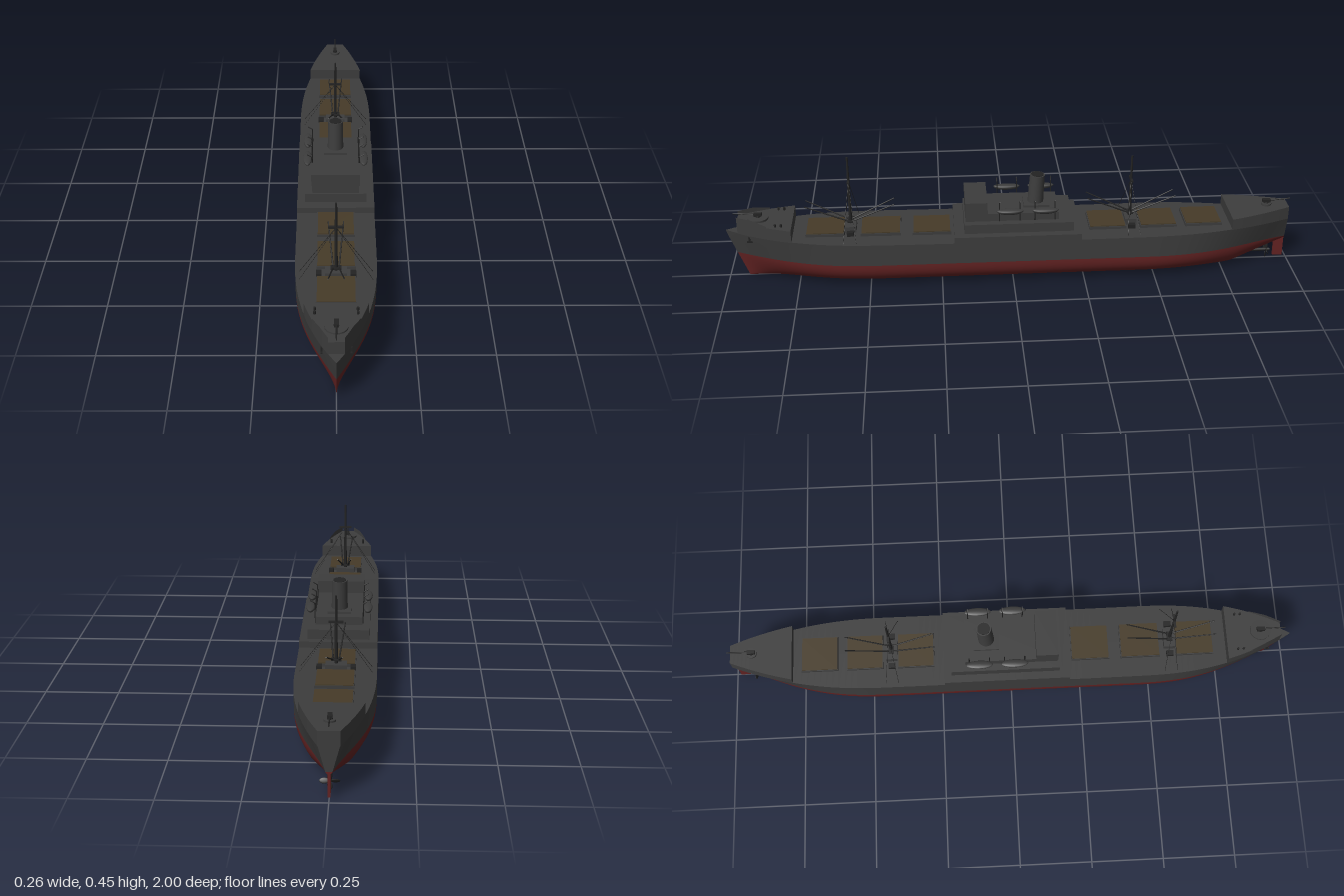
import * as THREE from 'three';
import { toCreasedNormals } from 'three/addons/utils/BufferGeometryUtils.js';

const mat = (name, color, side = THREE.FrontSide) => {
  const m = new THREE.MeshStandardMaterial({ color, side });
  m.name = name;
  return m;
};

// Hull lines: z runs aft to forward
const AFT = -0.985, WATER = 0.095;
const bowT = z => Math.max(0, (z - 0.45) / 0.55);
const sternT = z => Math.max(0, (-z - 0.45) / 0.54);
const deckHalf = z => 0.132 * (1 - bowT(z) ** 2.5) * (1 - 0.77 * sternT(z) ** 2.2);
const waterHalf = z => deckHalf(z) * (1 - 0.25 * bowT(z) ** 2) * (1 - 0.7 * sternT(z) ** 3);
const deckY = z => 0.172 + (z > 0 ? 0.013 : 0.006) * z * z;
const keelY = z => 0.004 + 0.08 * Math.max(0, (-0.78 - z) / 0.205) ** 1.1;
const rake = (z, y) => {
  if (z < 0.6) return z;
  const stem = 0.93 + 0.07 * Math.min(1, y / 0.18);
  return 0.6 + (z - 0.6) * (stem - 0.6) / 0.4;
};
// t from 0 at the keel to 1 at the waterline
const bottomPoint = (z, t, side) => {
  const y = keelY(z) + (WATER - keelY(z)) * t;
  const p = 2.5 - 1.2 * Math.max(bowT(z), sternT(z)) ** 1.5;
  return [side * waterHalf(z) * (1 - (1 - t) ** p) ** (1 / p), y, rake(z, y)];
};
// t from 0 at the waterline to 1 at the deck edge
const sidePoint = (z, t, side) => {
  const y = WATER + (deckY(z) - WATER) * t;
  return [side * (waterHalf(z) + (deckHalf(z) - waterHalf(z)) * t), y, rake(z, y)];
};

// Surface grid from f(u, v)
function patch(f, nu, nv) {
  const pos = [], idx = [];
  for (let i = 0; i <= nu; i++) for (let j = 0; j <= nv; j++) pos.push(...f(i / nu, j / nv));
  for (let i = 0; i < nu; i++) for (let j = 0; j < nv; j++) {
    const a = i * (nv + 1) + j, c = a + nv + 1;
    idx.push(a, a + 1, c, a + 1, c + 1, c);
  }
  const g = new THREE.BufferGeometry();
  g.setAttribute('position', new THREE.Float32BufferAttribute(pos, 3));
  g.setIndex(idx);
  g.computeVertexNormals();
  return g;
}

export function createModel() {
  const ship = new THREE.Group();
  ship.name = 'cargoShip';
  const grey = mat('hullGrey', 0x3d3d3d);
  const plate = mat('platingGrey', 0x3d3d3d, THREE.DoubleSide);
  const red = mat('bottomRed', 0x642323);
  const brown = mat('hatchBrown', 0x463b28);
  const dark = mat('fittingsDark', 0x232323);

  const add = (name, geo, m, x = 0, y = 0, z = 0, parent = ship) => {
    const o = new THREE.Mesh(geo, m);
    o.name = name;
    o.position.set(x, y, z);
    parent.add(o);
    return o;
  };
  const box = (name, m, w, y0, y1, z0, z1, x = 0) =>
    add(name, new THREE.BoxGeometry(w, y1 - y0, z1 - z0), m, x, (y0 + y1) / 2, (z0 + z1) / 2);
  const rod = (name, a, b, r, m = dark, r2 = r) => {
    const p = new THREE.Vector3(...a), q = new THREE.Vector3(...b);
    const o = add(name, new THREE.CylinderGeometry(r2, r, p.distanceTo(q), 8), m);
    o.position.copy(p).add(q).multiplyScalar(0.5);
    o.quaternion.setFromUnitVectors(new THREE.Vector3(0, 1, 0), q.sub(p).normalize());
    return o;
  };

  // Hull
  const st = u => AFT + (1 - AFT) * u;
  add('hullBottom', patch((u, v) => bottomPoint(st(u), Math.abs(2 * v - 1) ** 1.5, v < 0.5 ? -1 : 1), 90, 32), red);
  add('hullSideLeft', patch((u, v) => sidePoint(st(u), v, 1), 90, 4), grey);
  add('hullSideRight', patch((u, v) => sidePoint(st(u), 1 - v, -1), 90, 4), grey);
  add('mainDeck', patch((u, v) => sidePoint(st(u), 1, 1).map((c, k) => (k ? c : c * (1 - 2 * v))), 90, 2), grey);
  const transom = f => patch((u, v) => {
    const p = f(AFT, v, 1);
    return [p[0] * (2 * u - 1), p[1], p[2]];
  }, 2, 8);
  add('sternPlateLower', transom(bottomPoint), red);
  add('sternPlateUpper', transom(sidePoint), grey);

  // Raised hull sections following the deck outline
  const raised = (name, z0, z1, topY) => {
    const ring = (z, k) => [(k < 2 ? 1 : -1) * deckHalf(z), k === 1 || k === 2 ? topY(z) : deckY(z) - 0.002, z];
    const shell = patch((u, v) => ring(z0 + (z1 - z0) * u, Math.round(v * 3)), 16, 3);
    add(name, toCreasedNormals(shell, 0.6), grey);
    const cap = (z, s) => patch((u, v) => {
      const y = deckY(z) - 0.002;
      return [s * deckHalf(z) * (2 * v - 1), y + (topY(z) - y) * u, z];
    }, 1, 1);
    add(name + 'AftBulkhead', cap(z0, -1), grey);
    add(name + 'ForwardBulkhead', cap(z1, 1), grey);
  };
  raised('forecastle', 0.765, 0.957, z => 0.222 + 0.03 * (z - 0.765));
  raised('poop', AFT, -0.77, z => 0.214 + 0.04 * (-0.77 - z));
  raised('bridgeDeck', -0.235, 0.205, () => 0.194);
  for (const s of [1, -1])
    add('bowBulwark', patch((u, v) => {
      const z = 0.85 + 0.107 * u;
      return [s * deckHalf(z), 0.222 + v * (0.008 + 0.014 * Math.min(1, u * 2)), z];
    }, 8, 1), plate);

  // Superstructure
  box('lowerHouse', grey, 0.21, 0.19, 0.228, -0.21, 0.17);
  box('boatDeckHouse', grey, 0.16, 0.225, 0.256, -0.16, 0.165);
  box('wheelhouse', grey, 0.166, 0.256, 0.3, 0.088, 0.165);
  box('funnelCasing', grey, 0.08, 0.25, 0.264, -0.13, -0.04);
  const funnel = rod('funnel', [0, 0.255, -0.083], [0, 0.365, -0.09], 0.028, grey, 0.026);
  add('funnelMouth', new THREE.CylinderGeometry(0.022, 0.022, 0.003, 20), dark, 0, 0.055, 0, funnel);
  funnel.geometry = new THREE.CylinderGeometry(0.026, 0.028, 0.11, 24);

  // Lifeboats and davits
  const boatGeo = new THREE.SphereGeometry(1, 20, 12);
  const bp = boatGeo.attributes.position;
  for (let i = 0; i < bp.count; i++) if (bp.getY(i) > 0) bp.setY(i, bp.getY(i) * 0.45);
  boatGeo.scale(0.015, 0.014, 0.047);
  boatGeo.computeVertexNormals();
  for (const s of [1, -1]) for (const z of [0.012, -0.11]) {
    add('lifeboat', boatGeo, grey, s * 0.098, 0.275, z);
    for (const d of [-0.035, 0.035]) {
      rod('davitPost', [s * 0.081, 0.228, z + d], [s * 0.083, 0.3, z + d], 0.0018);
      rod('davitArm', [s * 0.083, 0.3, z + d], [s * 0.098, 0.309, z + d], 0.0018);
    }
  }

  // Cargo hatches
  for (const [a, b] of [[-0.74, -0.61], [-0.58, -0.45], [-0.4, -0.27], [0.215, 0.35], [0.39, 0.53], [0.585, 0.72]]) {
    const y = deckY((a + b) / 2);
    box('hatchCoaming', grey, 0.126, y - 0.004, y + 0.01, a, b);
    box('hatchCover', brown, 0.12, y + 0.01, y + 0.013, a + 0.003, b - 0.003);
  }

  // Masts with winch houses, booms and stays
  for (const [z, top] of [[0.565, 0.45], [-0.42, 0.425]]) {
    const y = deckY(z);
    box('mastHouse', grey, 0.07, y - 0.003, y + 0.022, z - 0.02, z + 0.02);
    rod('mast', [0, y, z], [0, top, z], 0.006, dark, 0.0035);
    box('crosstree', dark, 0.048, top - 0.092, top - 0.086, z - 0.004, z + 0.004);
    box('boomTable', dark, 0.034, 0.205, 0.21, z - 0.01, z + 0.01);
    for (const s of [1, -1]) {
      box('winch', dark, 0.018, y, y + 0.014, z - 0.012, z + 0.012, s * 0.055);
      for (const d of [1, -1]) {
        rod('cargoBoom', [s * 0.01, 0.21, z + d * 0.008], [s * 0.025, 0.277, z + d * 0.155], 0.0028, dark, 0.002);
        rod('stay', [0, top - 0.09, z], [s * 0.117, y, z + d * 0.022], 0.0008);
      }
    }
  }

  // Deck guns on round platforms
  for (const [z, y, d] of [[0.885, 0.225, 1], [-0.91, 0.219, -1]]) {
    const r = d > 0 ? 0.036 : 0.018;
    add('gunPlatform', new THREE.CylinderGeometry(r, r, 0.008, 20), grey, 0, y + 0.003, z);
    add('gunPedestal', new THREE.CylinderGeometry(0.006, 0.01, 0.016, 12), dark, 0, y + 0.01, z);
    box('gunBreech', dark, 0.014, y + 0.011, y + 0.021, z - 0.014, z + 0.014);
    rod('gunBarrel', [0, y + 0.016, z], [0, y + 0.022, z + d * 0.085], 0.003, dark, 0.002);
  }

  // Anchors and forecastle bollards
  for (const s of [1, -1]) {
    const a = box('anchor', dark, 0.006, 0.156, 0.176, 0.912, 0.918, s * 0.044);
    add('anchorFlukes', new THREE.BoxGeometry(0.006, 0.005, 0.018), dark, 0, -0.008, 0, a);
    for (const z of [0.8, 0.82])
      add('bollard', new THREE.CylinderGeometry(0.004, 0.004, 0.012, 10), dark, s * 0.065, 0.227, z);
  }

  // Rudder and propeller
  box('rudder', red, 0.008, 0.014, 0.09, -0.985, -0.95);
  rod('propellerShaft', [0, 0.036, -0.87], [0, 0.036, -0.938], 0.006);
  for (let i = 0; i < 4; i++) {
    const blade = new THREE.SphereGeometry(1, 10, 8).scale(0.009, 0.015, 0.002);
    blade.rotateY(0.5).translate(0, 0.016, 0).rotateZ(i * Math.PI / 2);
    add('propellerBlade', blade, dark, 0, 0.036, -0.925);
  }
  return ship;
}
